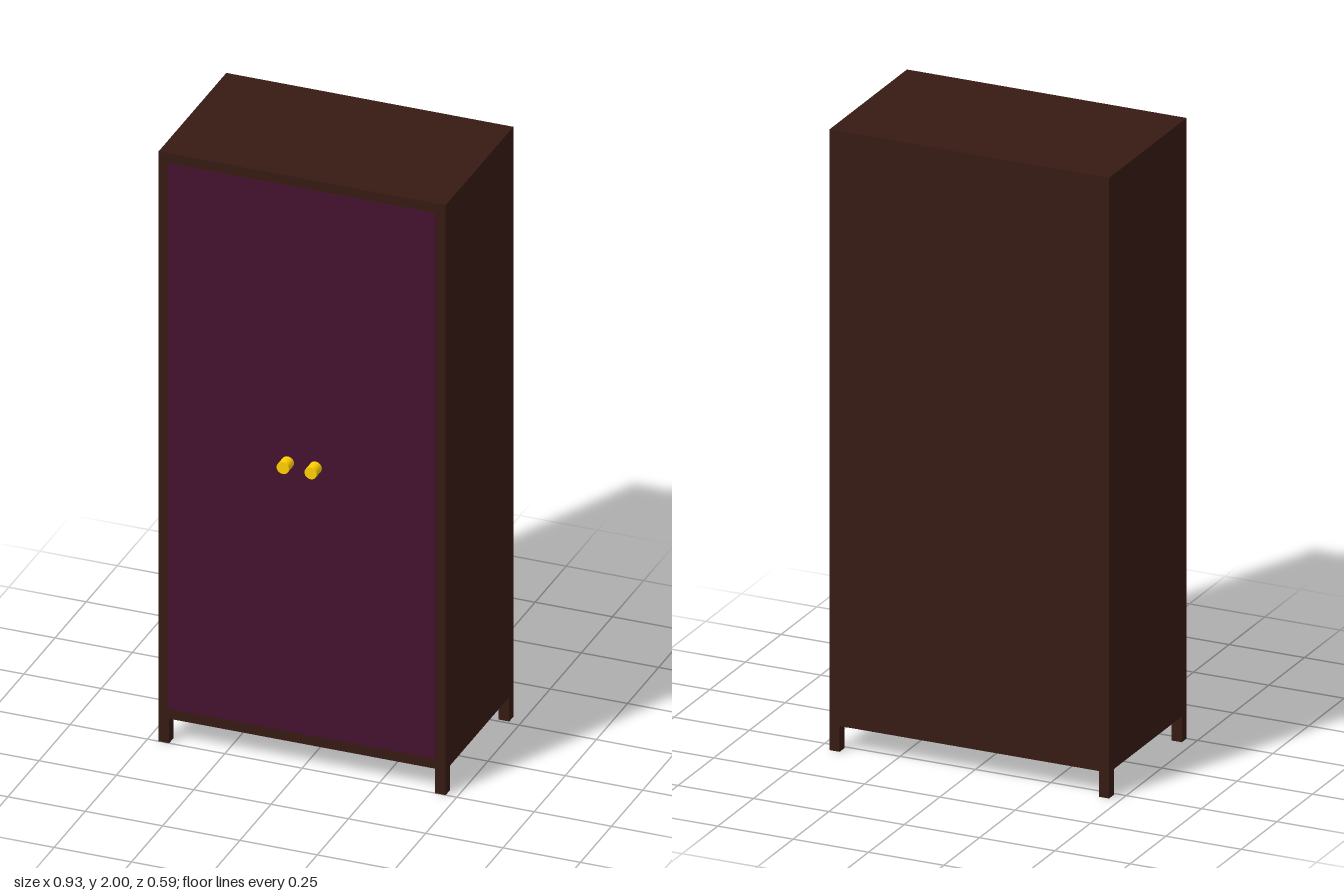
import * as THREE from 'three';

const WOOD = new THREE.MeshStandardMaterial({ color: 0x361a12 });
const DOOR = new THREE.MeshStandardMaterial({ color: 0x44102f });
const GOLD = new THREE.MeshStandardMaterial({ color: 0xffd000 });

// Box given by its minimum and maximum corners
function box(name, material, [x0, y0, z0], [x1, y1, z1]) {
  const mesh = new THREE.Mesh(new THREE.BoxGeometry(x1 - x0, y1 - y0, z1 - z0), material);
  mesh.position.set((x0 + x1) / 2, (y0 + y1) / 2, (z0 + z1) / 2);
  mesh.name = name;
  return mesh;
}

export function createModel() {
  const group = new THREE.Group();
  group.name = 'wardrobe';
  const W = 0.464, BACK = -0.294, FRONT = 0.25, BASE = 0.083, LEG = 0.034;

  // Cabinet body
  group.add(box('cabinet', WOOD, [-W, BASE, BACK], [W, 2, FRONT]));

  for (const side of [-1, 1]) {
    const label = side > 0 ? 'left' : 'right';

    // Square legs flush with the corners
    const x0 = side > 0 ? W - LEG : -W;
    for (const z0 of [BACK, FRONT - LEG]) {
      const end = z0 === BACK ? 'Back' : 'Front';
      group.add(box(label + end + 'Leg', WOOD, [x0, 0, z0], [x0 + LEG, BASE, z0 + LEG]));
    }

    // Door leaf, standing just proud of the frame
    const dx = side > 0 ? 0 : -0.432;
    group.add(box(label + 'Door', DOOR, [dx, 0.118, FRONT - 0.02], [dx + 0.432, 1.966, FRONT + 0.003]));

    // Round door knob
    const knob = new THREE.Mesh(new THREE.CylinderGeometry(0.02, 0.02, 0.044, 24), GOLD);
    knob.rotation.x = Math.PI / 2;
    knob.position.set(side * 0.045, 1.03, 0.272);
    knob.name = label + 'Knob';
    group.add(knob);
  }
  return group;
}
